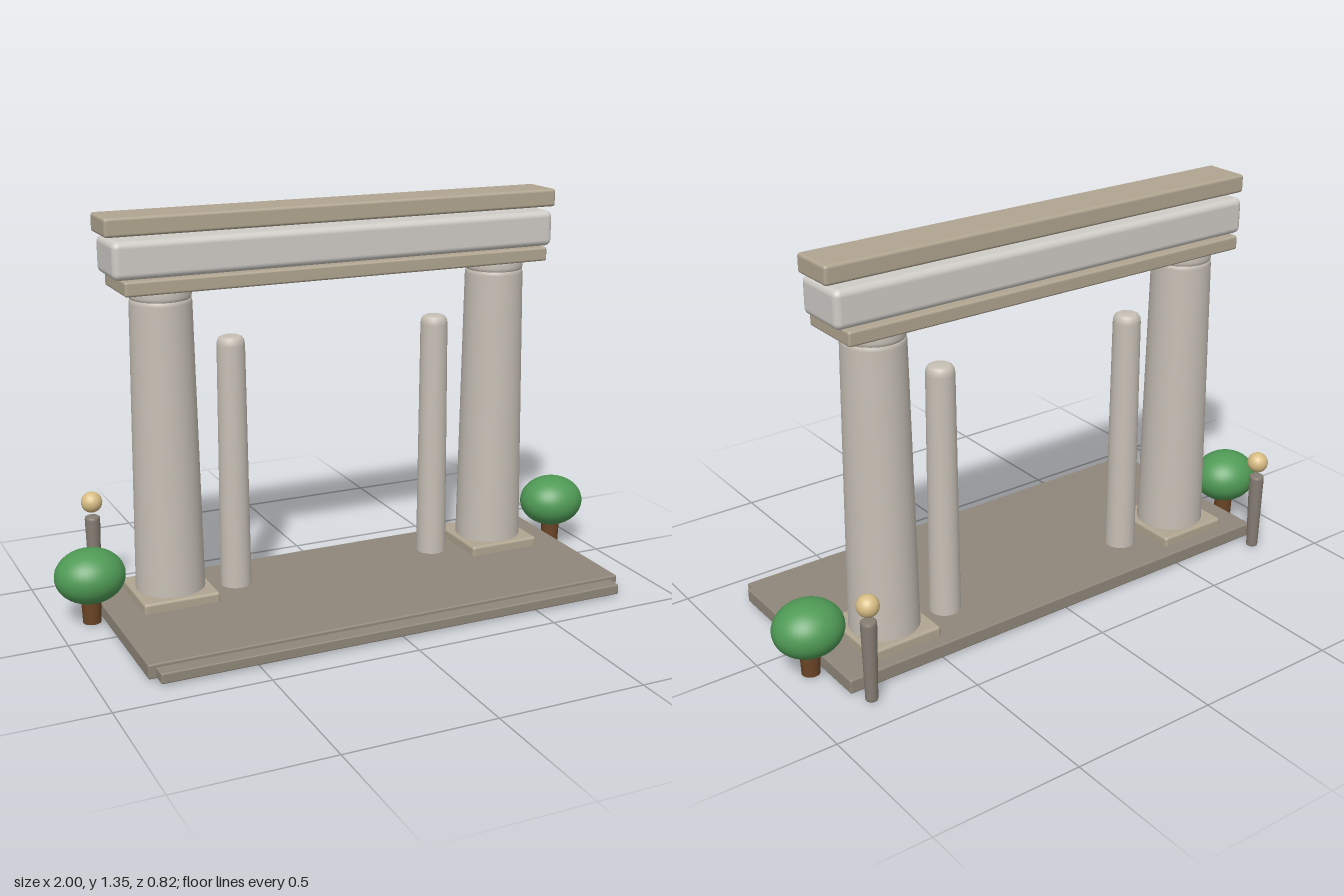
import * as THREE from 'three';
import { RoundedBoxGeometry } from 'three/addons/geometries/RoundedBoxGeometry.js';

const mat = (color) => new THREE.MeshStandardMaterial({ color });

export function createModel() {
  const model = new THREE.Group();
  const paving = mat(0x8f877a), stone = mat(0xc6bfb5), pale = mat(0xcfccc7);
  const trim = mat(0xb0a590), darkStone = mat(0x857d73);
  const glow = mat(0xd8bd85), leaf = mat(0x4f9a55), bark = mat(0x6b4526);

  const add = (name, geometry, material, x = 0, y = 0, z = 0) => {
    const mesh = new THREE.Mesh(geometry, material);
    mesh.name = name;
    mesh.position.set(x, y, z);
    model.add(mesh);
    return mesh;
  };

  // Slab with softened edges, given by its extents
  const slab = (name, material, x0, x1, y0, y1, z0, z1, r) =>
    add(name, new RoundedBoxGeometry(x1 - x0, y1 - y0, z1 - z0, 3, r), material,
      (x0 + x1) / 2, (y0 + y1) / 2, (z0 + z1) / 2);

  // Turned shaft: sharp profile corners get doubled points to stay crisp
  const turned = (name, material, profile, x, z, segments = 40) =>
    add(name, new THREE.LatheGeometry(profile.map(([r, y]) => new THREE.Vector2(r, y)), segments),
      material, x, 0, z);

  const Z = -0.14; // line of the colonnade

  // Floor, front step and the thin inlay on the underside
  slab('platform', paving, -0.845, 0.845, 0.008, 0.057, -0.32, 0.355, 0.006);
  slab('frontStep', paving, -0.82, 0.82, 0.01, 0.045, 0.25, 0.405, 0.005);
  slab('floorInlay', trim, -0.39, 0.39, 0.004, 0.03, 0.05, 0.18, 0.002);

  // Entablature, three courses
  slab('architrave', trim, -0.757, 0.757, 1.104, 1.152, -0.255, -0.028, 0.008);
  slab('frieze', pale, -0.787, 0.787, 1.152, 1.274, -0.24, -0.042, 0.022);
  slab('cornice', trim, -0.805, 0.805, 1.286, 1.347, -0.22, -0.06, 0.01);

  for (const [side, s] of [['left', 1], ['right', -1]]) {
    // Large column on its square plinth
    const cx = s * 0.61;
    slab(side + 'Plinth', trim, cx - 0.131, cx + 0.131, 0.005, 0.09, Z - 0.132, Z + 0.132, 0.01);
    turned(side + 'Column', stone, [
      [0, 0.002], [0.116, 0.002], [0.116, 0.002], [0.116, 0.09], [0.101, 1.06],
      [0.099, 1.07], [0.095, 1.075], [0, 1.075],
    ], cx, Z);
    turned(side + 'Capital', stone, [
      [0, 1.07], [0.094, 1.07], [0.099, 1.076], [0.1, 1.084],
      [0.1, 1.1], [0.098, 1.106], [0, 1.106],
    ], cx, Z);

    // Slender inner post with a rounded top
    turned(side + 'InnerPost', stone, [
      [0, 0.02], [0.053, 0.02], [0.053, 0.02], [0.047, 0.895], [0.045, 0.91],
      [0.039, 0.92], [0.03, 0.925], [0, 0.925],
    ], s * 0.376, Z, 28);

    // Lamp behind the platform corner
    turned(side + 'LampPost', darkStone, [
      [0, 0.008], [0.019, 0.008], [0.02, 0.012], [0.026, 0.275],
      [0.025, 0.283], [0.021, 0.286], [0, 0.286],
    ], s * 0.805, -0.375, 20);
    add(side + 'LampGlobe', new THREE.SphereGeometry(0.036, 24, 16), glow, s * 0.805, 0.337, -0.375);

    // Clipped tree beside the platform
    turned(side + 'TreeTrunk', bark, [
      [0, 0.007], [0.03, 0.007], [0.03, 0.007], [0.034, 0.11], [0.034, 0.11], [0, 0.11],
    ], s * 0.883, Z, 20);
    const crown = add(side + 'TreeCrown', new THREE.SphereGeometry(1, 36, 24), leaf, s * 0.883, 0.17, Z);
    crown.scale.set(0.117, 0.091, 0.107);
  }

  return model;
}
